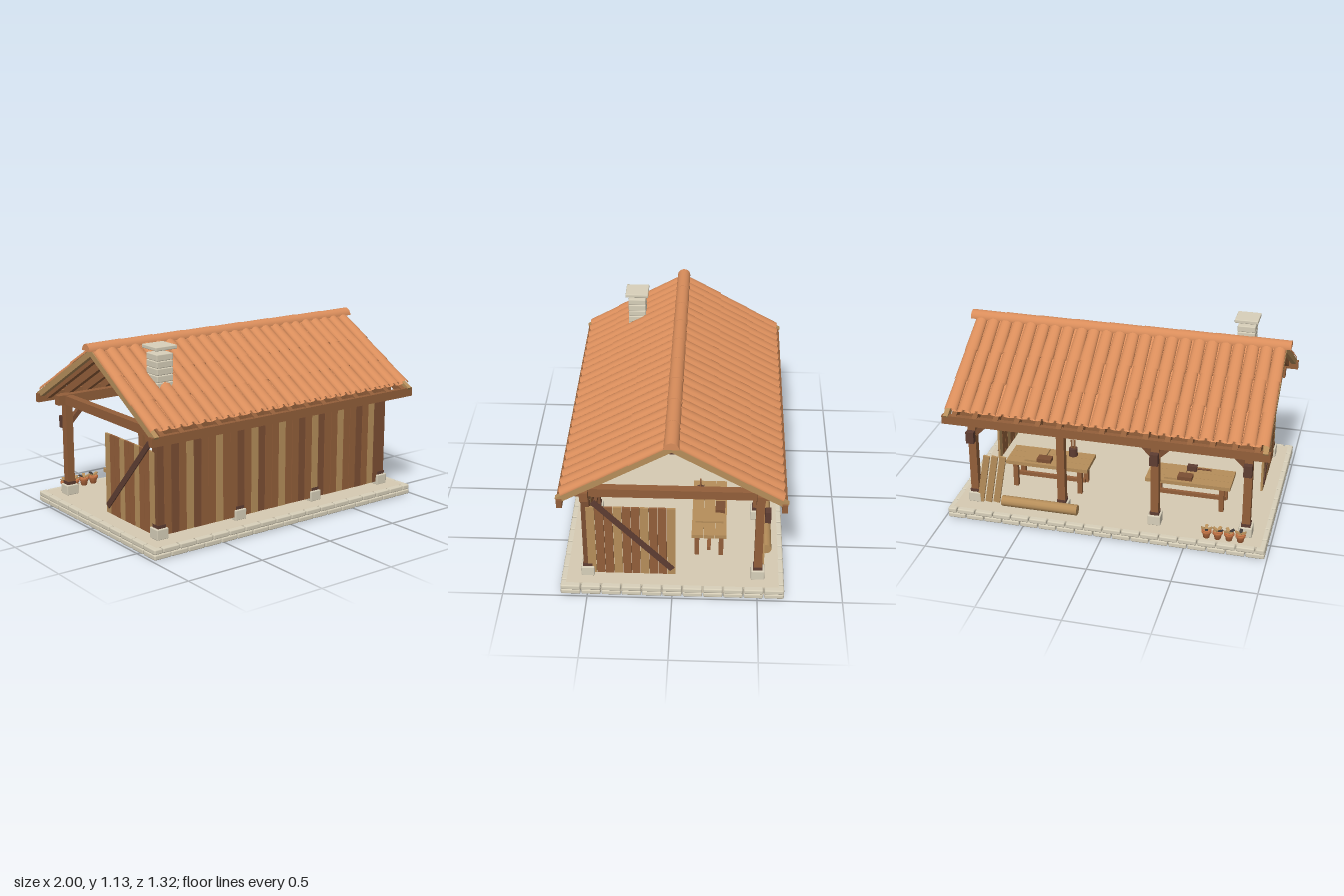
import * as THREE from 'three';
import { RoundedBoxGeometry } from 'three/addons/geometries/RoundedBoxGeometry.js';

const mat = (name, color, side = THREE.FrontSide) => {
  const m = new THREE.MeshStandardMaterial({ color, side });
  m.name = name;
  return m;
};
const M = {
  tile: mat('terracotta tile', 0xd98d5b, THREE.DoubleSide),
  stone: mat('pale stone', 0xd8d0ba),
  floor: mat('packed floor', 0xd6cab2),
  brown: mat('brown timber', 0x935f3a),
  umber: mat('umber timber', 0x7c4f33),
  tan: mat('tan timber', 0xb68e5a),
  dark: mat('dark timber', 0x5e3d32),
  clay: mat('clay pot', 0xc97646, THREE.DoubleSide),
  iron: mat('dark iron', 0x3f3a39),
};

let seed = 7;
const rnd = () => (seed = (seed * 16807) % 2147483647) / 2147483647;

function add(parent, name, geo, material, x = 0, y = 0, z = 0) {
  const m = new THREE.Mesh(geo, material);
  m.name = name;
  m.position.set(x, y, z);
  parent.add(m);
  return m;
}
const box = (p, name, material, w, h, d, x, y, z) =>
  add(p, name, new THREE.BoxGeometry(w, h, d), material, x, y, z);
const cyl = (p, name, material, rt, rb, h, x, y, z) =>
  add(p, name, new THREE.CylinderGeometry(rt, rb, h, 12), material, x, y, z);
function group(parent, name, x = 0, y = 0, z = 0) {
  const g = new THREE.Group();
  g.name = name;
  g.position.set(x, y, z);
  parent.add(g);
  return g;
}

const POSTS = [-0.849, -0.293, 0.29, 0.849];
const POST_Z = 0.502;
const PITCH = Math.PI / 6;

// Floor slab edged with two courses of stones
function buildBase(root) {
  const g = group(root, 'base');
  box(g, 'floor', M.floor, 1.91, 0.056, 1.256, 0, 0.036, 0);
  const row = (n, length, place, shift) => {
    const step = length / n;
    const cuts = shift ? [0, ...Array.from({ length: n }, (_, i) => (i + 0.5) * step), length]
      : Array.from({ length: n + 1 }, (_, i) => i * step);
    for (let i = 0; i < cuts.length - 1; i++) {
      place(-length / 2 + (cuts[i] + cuts[i + 1]) / 2, cuts[i + 1] - cuts[i] - 0.005);
    }
  };
  for (const level of [0, 1]) for (const s of [-1, 1]) {
    const y = 0.0165 + level * 0.032;
    row(17, 1.97, (c, w) => add(g, 'edgeStone',
      new RoundedBoxGeometry(w, 0.031, 0.04, 1, 0.008), M.stone, c, y, s * 0.638), level === 1);
    row(11, 1.316, (c, w) => add(g, 'edgeStone',
      new RoundedBoxGeometry(0.04, 0.031, w, 1, 0.008), M.stone, s * 0.965, y, c), false);
  }
}

// Posts on stone feet, plates, tie beams and knee braces
function buildFrame(root) {
  const g = group(root, 'frame');
  for (const s of [-1, 1]) {
    POSTS.forEach((x, i) => {
      const z = s * POST_Z;
      add(g, 'footStone', new RoundedBoxGeometry(0.08, 0.065, 0.08, 1, 0.006), M.stone, x, 0.094, z);
      box(g, 'post', s > 0 ? M.umber : M.brown, 0.048, 0.53, 0.048, x, 0.385, z);
      box(g, 'postCollar', M.dark, 0.056, 0.02, 0.056, x, 0.136, z);
      if (s > 0 || i === 2) return;
      box(g, 'postBracket', M.dark, 0.05, 0.075, 0.035, x, 0.522, z - 0.045);
      for (const d of [-1, 1]) {
        if ((i === 0 && d < 0) || (i === 3 && d > 0)) continue;
        box(g, 'kneeBrace', M.umber, 0.03, 0.18, 0.03, x + d * 0.07, 0.58, z).rotation.z = -d * Math.PI / 4;
      }
    });
    box(g, 'wallPlate', M.brown, 1.84, 0.06, 0.048, 0, 0.675, s * POST_Z);
    box(g, 'eaveBeam', M.brown, 1.97, 0.054, 0.032, 0, 0.676, s * 0.632);
  }
  for (const x of POSTS) box(g, 'tieBeam', M.brown, 0.05, 0.055, 1.11, x, 0.674, 0);
  box(g, 'ridgeBeam', M.dark, 1.9, 0.045, 0.04, 0, 1.037, 0);
}

// Boarded front wall and two half-depth end walls
function buildWalls(root) {
  const front = group(root, 'frontWall');
  const n = 32, step = 1.66 / n;
  const tones = [M.brown, M.umber, M.brown, M.tan, M.umber, M.brown, M.brown, M.tan, M.brown];
  for (let i = 0; i < n; i++) {
    box(front, 'wallBoard', tones[i % tones.length], step - 0.003, 0.555, 0.012,
      -0.83 + (i + 0.5) * step, 0.36, 0.521 + rnd() * 0.003);
  }
  for (const y of [0.2, 0.52]) box(front, 'wallRail', M.umber, 1.66, 0.035, 0.02, 0, y, 0.503);
  const pattern = [M.tan, M.brown, M.brown, M.tan, M.brown, M.brown, M.tan, M.brown, M.brown, M.tan];
  for (const s of [-1, 1]) {
    const end = group(root, 'endWall');
    pattern.forEach((m, i) =>
      box(end, 'wallBoard', m, 0.014, 0.49, 0.049, s * 0.869, 0.325, 0.475 - i * 0.052));
    box(end, 'diagonalBrace', M.dark, 0.008, 0.67, 0.036, s * 0.879, 0.367, 0.23).rotation.x = 0.75;
  }
}

// Rafters and barrel tiles on each slope, then ridge tiles
function buildRoof(root) {
  const roof = group(root, 'roof');
  const half = (rLow, rHigh, len, start, flat) => new THREE.CylinderGeometry(rLow, rHigh, len, 8, 1, true, start, Math.PI)
    .rotateX(Math.PI / 2).scale(1, flat, 1);
  const cap = half(0.041, 0.036, 0.25, Math.PI / 2, 0.68);
  const pan = half(0.036, 0.04, 0.25, -Math.PI / 2, 0.4);
  const cols = 24, step = 1.95 / cols;
  for (const s of [0, 1]) {
    const side = group(roof, 'roofSide');
    side.rotation.y = s * Math.PI;
    const slope = group(side, 'slope', 0, 1.055, 0);
    slope.rotation.x = PITCH;
    for (let i = 0; i < 15; i++) {
      box(slope, 'rafter', M.brown, 0.032, 0.046, 0.735, -0.91 + i * 0.13, -0.006, 0.368);
    }
    for (const e of [-1, 1]) box(slope, 'bargeRafter', M.tan, 0.03, 0.037, 0.756, e * 0.957, 0.006, 0.364);
    for (let c = 0; c <= cols; c++) for (let r = 0; r < 3; r++) {
      const z = 0.132 + r * 0.222;
      const x = -0.975 + c * step;
      if (c < cols) add(slope, 'coverTile', cap, M.tile, x + step / 2 + (rnd() - 0.5) * 0.007, 0.025 + rnd() * 0.002, z);
      if (c > 0 && c < cols) add(slope, 'channelTile', pan, M.tile, x, 0.036, z);
    }
  }
  const ridge = new THREE.CylinderGeometry(0.041, 0.044, 0.235, 12, 1, false, 0, Math.PI).rotateZ(Math.PI / 2);
  for (let i = 0; i < 9; i++) add(roof, 'ridgeTile', ridge, M.tile, -0.882 + i * 0.2205, 1.078, 0);
}

// Coursed stone chimney with a raised cap
function buildChimney(root) {
  const g = group(root, 'chimney', -0.69, 0, 0.293);
  for (let i = 0; i < 5; i++) {
    add(g, 'chimneyCourse', new RoundedBoxGeometry(0.112, 0.04, 0.112, 1, 0.006), M.stone, 0, 0.897 + i * 0.041, 0);
  }
  add(g, 'chimneyCap', new RoundedBoxGeometry(0.146, 0.023, 0.146, 1, 0.005), M.stone, 0, 1.116, 0);
}

const potGeo = new THREE.LatheGeometry(
  [[0.001, 0], [0.018, 0], [0.026, 0.036], [0.031, 0.037], [0.031, 0.05], [0.025, 0.05], [0.024, 0.042], [0.001, 0.042]]
    .map(([x, y]) => new THREE.Vector2(x, y)), 12);

// Two plank-topped benches with tools
function buildBench(root, x, withCup) {
  const g = group(root, 'workbench', x, 0, -0.21);
  for (let i = 0; i < 3; i++) box(g, 'benchPlank', M.tan, 0.53, 0.024, 0.068, 0, 0.238, (i - 1) * 0.07);
  for (const sx of [-1, 1]) for (const sz of [-1, 1]) {
    box(g, 'benchLeg', M.brown, 0.03, 0.165, 0.028, sx * 0.21, 0.144, sz * 0.073);
  }
  box(g, 'benchStretcher', M.brown, 0.45, 0.024, 0.022, 0, 0.113, 0);
  box(g, 'workBoard', M.tan, 0.12, 0.012, 0.17, 0.09, 0.256, 0);
  box(g, 'woodBlock', M.umber, 0.09, 0.024, 0.058, 0.02, 0.27, -0.065);
  if (withCup) {
    cyl(g, 'toolCup', M.dark, 0.028, 0.028, 0.052, -0.13, 0.276, 0.06);
    for (let i = 0; i < 3; i++) cyl(g, 'toolHandle', M.brown, 0.004, 0.004, 0.08, -0.14 + i * 0.011, 0.32, 0.06);
  } else {
    box(g, 'malletHead', M.dark, 0.06, 0.034, 0.034, 0.0, 0.268, 0.055);
    cyl(g, 'malletHandle', M.umber, 0.006, 0.006, 0.1, -0.07, 0.266, 0.055).rotation.z = Math.PI / 2;
  }
}

// Shelf of pots, flower pots, log and leaning planks
function buildProps(root) {
  const shelf = group(root, 'potShelf', -0.47, 0, 0.42);
  for (const y of [0.14, 0.31, 0.46]) box(shelf, 'shelfBoard', M.tan, 0.42, 0.015, 0.11, 0, y, 0);
  for (const s of [-1, 1]) box(shelf, 'shelfUpright', M.umber, 0.02, 0.38, 0.1, s * 0.205, 0.28, 0);
  for (let i = 0; i < 5; i++) {
    for (const y of [0.148, 0.318]) add(shelf, 'shelfPot', potGeo, M.clay, -0.15 + i * 0.075, y, 0);
    if (i % 2 === 0) cyl(shelf, 'stoneJar', M.stone, 0.024, 0.03, 0.07, -0.15 + i * 0.075, 0.503, 0);
  }

  for (let i = 0; i < 4; i++) {
    const g = group(root, 'flowerPot', -0.83 + i * 0.068, 0.063, -0.592);
    add(g, 'pot', potGeo, M.clay);
    for (let k = 0; k < 4; k++) {
      const a = k * 1.57 + i;
      const leaf = box(g, 'leaf', k === 1 ? M.iron : M.tan, 0.036, 0.006, 0.018, Math.cos(a) * 0.016, 0.06, Math.sin(a) * 0.016);
      leaf.rotation.set(0, -a, 0.4);
    }
  }

  cyl(root, 'log', M.tan, 0.033, 0.033, 0.48, 0.42, 0.106, -0.555).rotation.z = Math.PI / 2;

  const stack = group(root, 'leaningPlanks', 0.755, 0.063, -0.52);
  for (let i = 0; i < 3; i++) {
    const p = box(stack, 'loosePlank', M.tan, 0.04, 0.33, 0.014, -0.07 + i * 0.05, 0.168, i * -0.006);
    p.rotation.z = 0.17;
  }
}

export function createModel() {
  const root = new THREE.Group();
  root.name = 'workshopShelter';
  buildBase(root);
  buildFrame(root);
  buildWalls(root);
  buildRoof(root);
  buildChimney(root);
  buildBench(root, 0.45, true);
  buildBench(root, -0.45, false);
  buildProps(root);
  return root;
}
